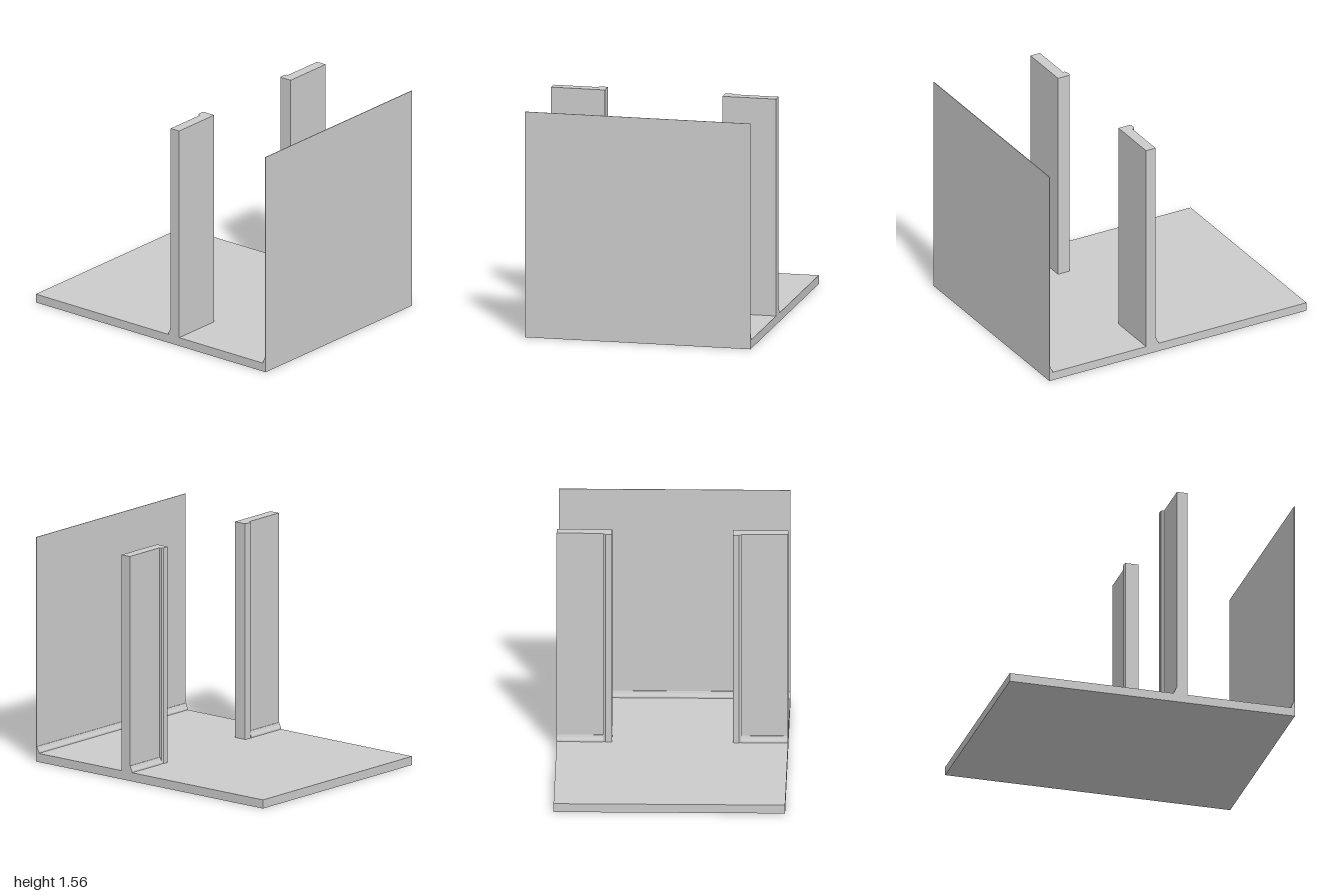
import * as THREE from 'three';

const HALF = 0.78, TOP = 1.56, FLOOR = 0.06;

export function createModel() {
  const group = new THREE.Group();
  const material = new THREE.MeshStandardMaterial({ color: 0xcccccc, flatShading: true });

  const add = (name, geometry) => {
    const mesh = new THREE.Mesh(geometry, material);
    mesh.name = name;
    group.add(mesh);
  };
  // Box given by its limits
  const box = (name, x0, x1, y0, y1, z0, z1) =>
    add(name, new THREE.BoxGeometry(x1 - x0, y1 - y0, z1 - z0)
      .translate((x0 + x1) / 2, (y0 + y1) / 2, (z0 + z1) / 2));
  const extrude = (points, depth) => new THREE.ExtrudeGeometry(
    new THREE.Shape(points.map(([a, b]) => new THREE.Vector2(a, b))),
    { depth, bevelEnabled: false });

  // Skirting along x; profile is (distance out from the wall, height), wall faces -z
  const skirting = (name, x0, x1, wallZ) => {
    const geometry = extrude(
      [[0, FLOOR], [0.02, FLOOR], [0.02, 0.07], [0.009, 0.09], [0.004, 0.105], [0, 0.105]], x1 - x0);
    add(name, geometry.rotateY(Math.PI / 2).translate(x0, 0, wallZ));
  };

  // Floor slab and thin front panel
  box('floor', -HALF, HALF, 0, FLOOR, -1, 1);
  box('frontPanel', -HALF, HALF, 0, TOP, 0.995, 1);
  skirting('frontSkirting', -HALF, HALF, 0.995);

  // Wall piers either side of the opening, with door trim and skirting behind
  for (const side of [-1, 1]) {
    const label = side > 0 ? 'left' : 'right';
    const span = (a, b) => (side > 0 ? [a, b] : [-b, -a]);
    box(label + 'Pier', ...span(0.407, HALF), FLOOR, TOP, 0.173, 0.247);
    skirting(label + 'PierSkirting', ...span(0.467, HALF), 0.173);

    // Plan outline of the trim (x, -z), raised along y
    const outline = [[0.407, -0.173], [0.407, -0.157], [0.415, -0.152],
      [0.45, -0.152], [0.457, -0.157], [0.467, -0.159], [0.467, -0.173]];
    const trim = extrude(outline.map(([x, z]) => [side * x, z]), TOP - FLOOR);
    add(label + 'Trim', trim.rotateX(-Math.PI / 2).translate(0, FLOOR, 0));
  }
  return group;
}
